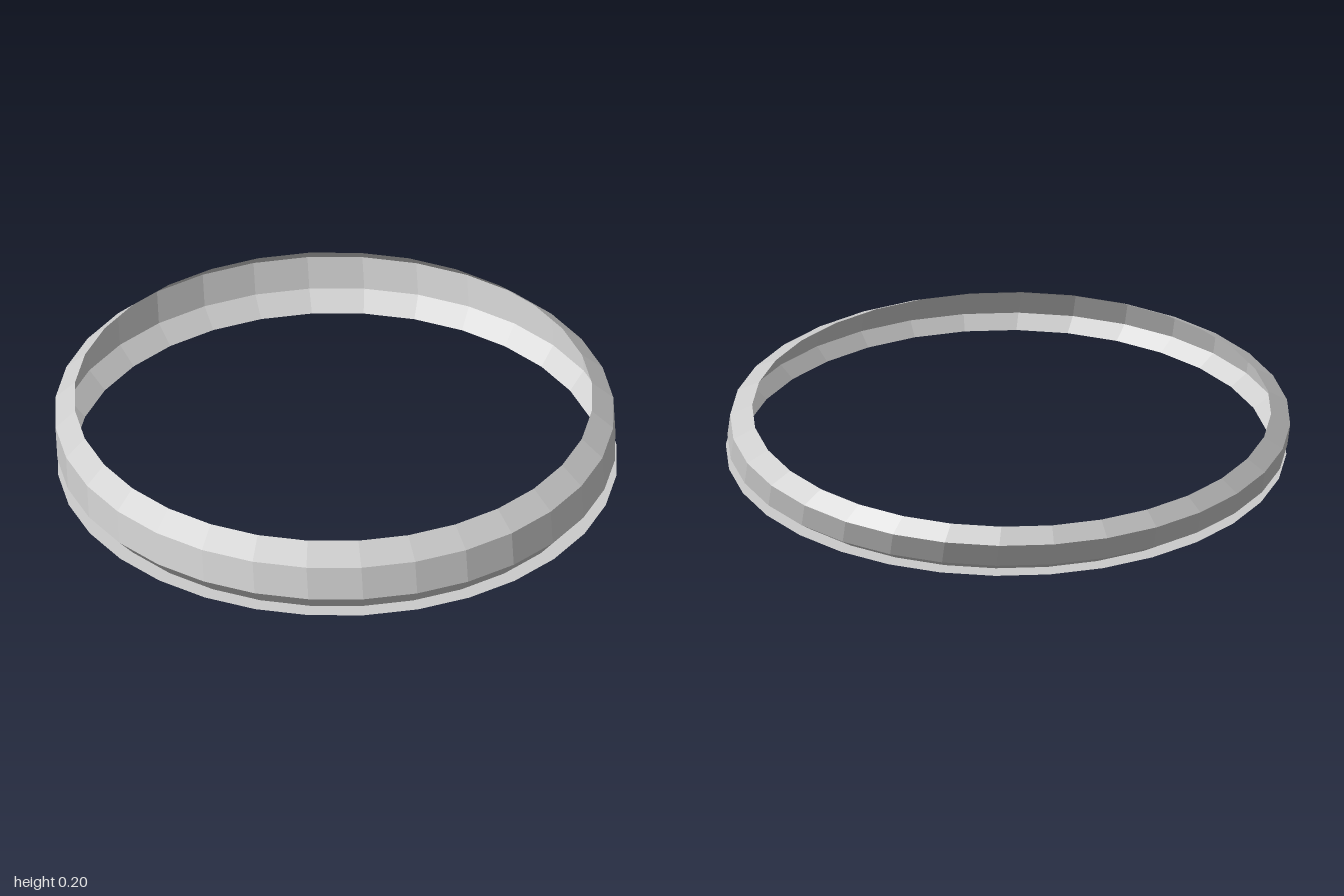
import * as THREE from 'three';

export function createModel() {
  const group = new THREE.Group();
  group.name = 'slantedRing';

  // Open profile (radius, height): flat bottom flange, lower bevel, wall, upper bevel
  const profile = [
    [0.968, 0], [0.91, 0], [0.967, 0.05], [0.967, 0.15], [0.896, 0.2],
  ].map(([r, y]) => new THREE.Vector2(r, y));

  // Revolve in 32 facets, then lean each level sideways in proportion to its height
  const lathe = new THREE.LatheGeometry(profile, 32);
  const pos = lathe.attributes.position;
  for (let i = 0; i < pos.count; i++) {
    const y = pos.getY(i);
    pos.setX(i, pos.getX(i) + 0.031 - 0.4 * y);
    pos.setZ(i, pos.getZ(i) + 0.02 - 0.24 * y);
  }
  const geometry = lathe.toNonIndexed();
  geometry.computeVertexNormals();

  const material = new THREE.MeshStandardMaterial({
    color: 0xcccccc, flatShading: true, side: THREE.DoubleSide,
  });
  const band = new THREE.Mesh(geometry, material);
  band.name = 'ringBand';
  group.add(band);
  return group;
}
